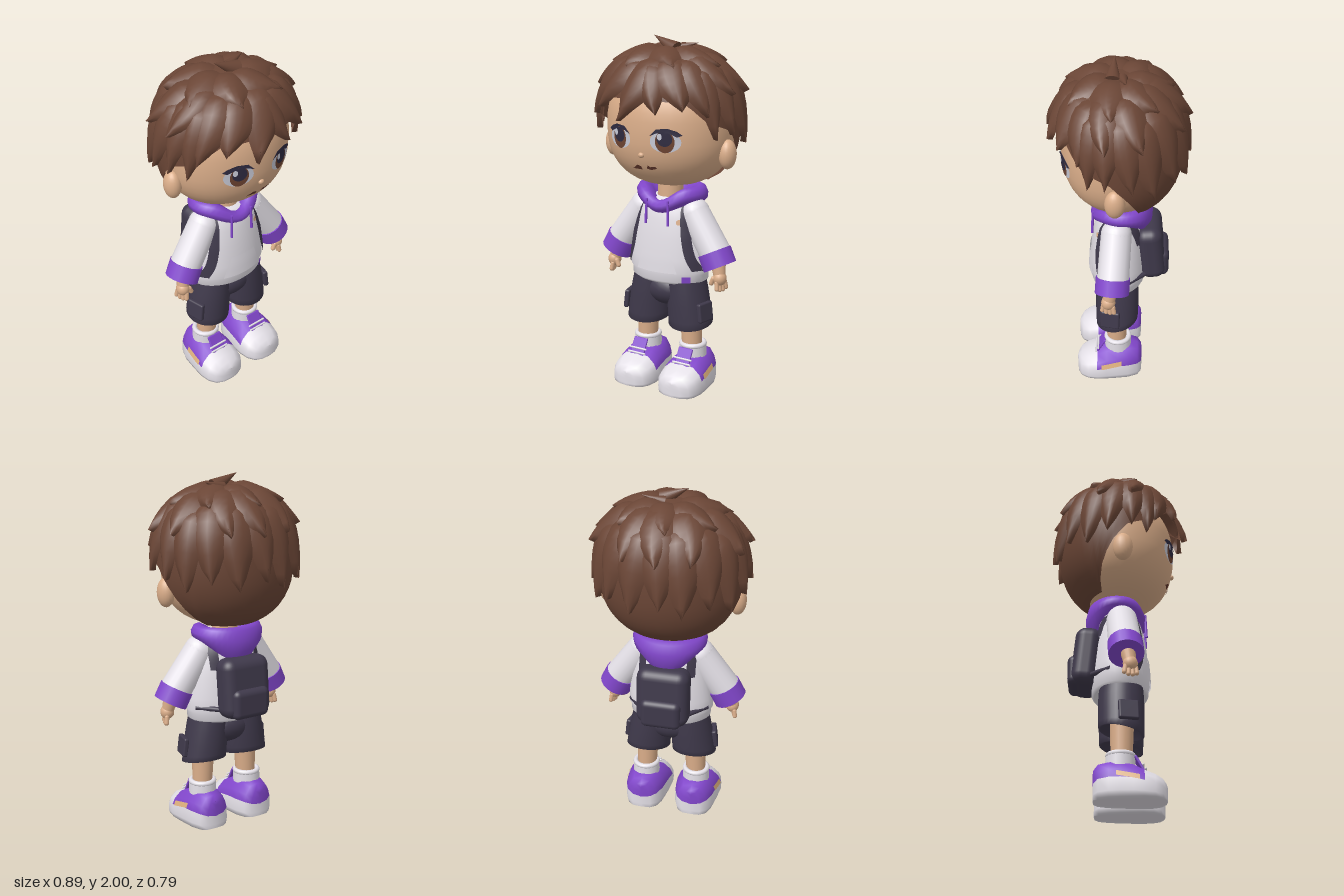
import * as THREE from 'three';
import { mergeGeometries, mergeVertices } from 'three/addons/utils/BufferGeometryUtils.js';
import { RoundedBoxGeometry } from 'three/addons/geometries/RoundedBoxGeometry.js';

const mat = (name, color, side = THREE.FrontSide) => {
  const m = new THREE.MeshStandardMaterial({ color, side });
  m.name = name;
  return m;
};
const V = (x, y, z) => new THREE.Vector3(x, y, z);
const lerp = THREE.MathUtils.lerp;

// Piecewise linear lookup in [[key, value], ...]
function lookup(table, k) {
  for (let i = 1; i < table.length; i++) {
    const [a, va] = table[i - 1], [b, vb] = table[i];
    if (k <= b) return lerp(va, vb, Math.max(0, (k - a) / (b - a)));
  }
  return table[table.length - 1][1];
}

// Surface through fn(u, v) -> Vector3; pick(i, j) gives a material index per quad
function grid(fn, nu, nv, pick) {
  const pos = [], lists = [[], []];
  for (let j = 0; j <= nv; j++) for (let i = 0; i <= nu; i++) pos.push(...fn(i / nu, j / nv, i, j).toArray());
  for (let j = 0; j < nv; j++) for (let i = 0; i < nu; i++) {
    const a = j * (nu + 1) + i, d = a + nu + 1;
    lists[pick ? pick(i, j) : 0].push(a, a + 1, d + 1, a, d + 1, d);
  }
  let g = new THREE.BufferGeometry();
  g.setAttribute('position', new THREE.Float32BufferAttribute(pos, 3));
  g.setIndex([...lists[0], ...lists[1]]);
  if (pick) {
    g.addGroup(0, lists[0].length, 0);
    g.addGroup(lists[0].length, lists[1].length, 1);
  }
  g = mergeVertices(g, 1e-5);
  g.computeVertexNormals();
  return g;
}

// Rounded ovoid shared by the head and the hair
const POW = 2.4;
function ovoid(o, az, el) {
  const s = Math.sin(el), r = Math.pow(Math.max(0, Math.cos(el)), 2 / POW);
  return V(o.rx * r * Math.sin(az), o.cy + o.ry * Math.sign(s) * Math.pow(Math.abs(s), 2 / POW), o.rz * r * Math.cos(az));
}
const elevation = (o, y) => {
  const d = (y - o.cy) / o.ry;
  return Math.asin(Math.sign(d) * Math.pow(Math.abs(d), POW / 2));
};
const HEAD = { cy: 1.51, rx: 0.37, ry: 0.33, rz: 0.31 };
const HAIR = { cy: 1.55, rx: 0.4, ry: 0.39, rz: 0.355 };
const faceZ = (x, y) => {
  const r = Math.pow(1 - Math.pow(Math.abs((y - HEAD.cy) / HEAD.ry), POW), 1 / POW);
  return HEAD.rz * Math.sqrt(Math.max(0, r * r - (x / HEAD.rx) ** 2));
};

// Torso profile as [height, radius]
const TORSO = [[0.63, 0.215], [0.645, 0.235], [0.68, 0.235], [0.7, 0.247], [0.77, 0.243], [0.9, 0.225], [1.0, 0.2], [1.07, 0.175], [1.11, 0.14]];
const torsoZ = (x, y) => 0.67 * Math.sqrt(Math.max(0, lookup(TORSO, y) ** 2 - x * x));

export function createModel() {
  const model = new THREE.Group();
  const DS = THREE.DoubleSide;
  const hair = mat('hair brown', 0x6b4636, DS), skin = mat('skin', 0xdbae8a), white = mat('off white', 0xe4e0e7, DS);
  const purple = mat('purple', 0x8247cc, DS), navy = mat('dark navy', 0x3f394b, DS), dark = mat('eye dark', 0x2e2a40);
  const iris = mat('iris brown', 0x6e4432), eyeWhite = mat('eye white', 0xc9cbd8), lip = mat('mouth brown', 0x63382c);

  const add = (name, geo, material, p = [0, 0, 0], scale = [1, 1, 1], rot = [0, 0, 0]) => {
    const m = new THREE.Mesh(geo, material);
    m.name = name;
    m.position.set(...p);
    m.scale.set(...scale);
    m.rotation.set(...rot);
    model.add(m);
    return m;
  };
  const ball = (name, p, r, m) => add(name, new THREE.SphereGeometry(1, 20, 14), m, p, r);
  const limb = (name, a, b, ra, rb, m) => {
    const A = V(...a), B = V(...b), d = B.clone().sub(A);
    const mesh = add(name, new THREE.CylinderGeometry(rb, ra, d.length(), 20), m, A.clone().lerp(B, 0.5).toArray());
    mesh.quaternion.setFromUnitVectors(V(0, 1, 0), d.normalize());
    return mesh;
  };
  // Thin plate laid on a surface given by zAt(x, y)
  const drape = (name, geo, zAt, off, m) => {
    const p = geo.attributes.position;
    for (let i = 0; i < p.count; i++) p.setZ(i, zAt(p.getX(i), p.getY(i)) + off);
    geo.computeVertexNormals();
    return add(name, geo, m);
  };
  const disc = (x, y, rx, ry) => new THREE.CircleGeometry(1, 24).scale(rx, ry, 1).translate(x, y, 0);
  const poly = (pts, s = 1) => new THREE.ShapeGeometry(new THREE.Shape(pts.map(([x, y]) => new THREE.Vector2(x * s, y))));

  // Head, neck, nose and mouth
  add('head', grid((u, v) => ovoid(HEAD, u * Math.PI * 2, (v - 0.5) * Math.PI), 40, 24), skin);
  limb('neck', [0, 1.04, 0], [0, 1.24, 0], 0.075, 0.07, skin);
  ball('nose', [0, 1.39, faceZ(0, 1.39)], [0.018, 0.015, 0.015], skin);
  drape('mouthRight', poly([[-0.075, 1.305], [-0.01, 1.305], [-0.015, 1.325], [-0.035, 1.332]]), faceZ, 0.005, lip);
  drape('mouthLeft', poly([[0.02, 1.315], [0.045, 1.308], [0.08, 1.318], [0.075, 1.33], [0.045, 1.325], [0.03, 1.335]]), faceZ, 0.005, lip);

  // Hair cap with a hairline that drops behind the ears
  const hairline = [[0, 1.7], [0.7, 1.68], [1.0, 1.58], [1.45, 1.52], [1.7, 1.42], [2.1, 1.2], [3.2, 1.19]];
  add('hairCap', grid((u, v) => {
    const az = (u * 2 - 1) * Math.PI;
    return ovoid(HAIR, az, lerp(elevation(HAIR, lookup(hairline, Math.abs(az))), Math.PI / 2, v));
  }, 56, 20), hair);

  // Leaf-shaped locks: [azimuth, root elevation, tip elevation, half width, drift, flick]
  const lock = ([az, e0, e1, w, drift, flick]) => grid((u, v) => {
    const t = 1 - v, s = u * 2 - 1, a = az + drift * t * t;
    const p = ovoid(HAIR, a, lerp(e0, e1, t));
    const out = p.clone().sub(V(0, 1.5, 0)).normalize();
    const half = w * Math.pow(Math.max(0, Math.sin(Math.PI * (0.2 + 0.8 * t))), 0.85);
    const h = 0.034 * (1 - s * s) * Math.min(1, 5 * t) - 0.006 - (s * half) ** 2 / 0.7 + flick * t * t * t;
    return p.addScaledVector(V(Math.cos(a), 0, -Math.sin(a)), s * half).addScaledVector(out, h);
  }, 6, 8);
  const locks = [
    [-0.8, 1.1, 0.03, 0.12, -0.2, 0.01], [-0.42, 1.05, 0.14, 0.12, -0.2, 0.02], [0.1, 1.1, 0.03, 0.13, -0.32, 0.02],
    [0.12, 1.0, 0.12, 0.1, 0.18, 0.012], [0.5, 1.1, 0.16, 0.13, 0.15, 0.02], [0.85, 1.05, 0.09, 0.11, 0.15, 0.01],
  ];
  for (const s of [-1, 1]) {
    locks.push(
      [s * 1.08, 0.9, -0.12, 0.09, s * 0.06, 0], [s * 1.35, 1.0, -0.08, 0.1, s * 0.05, 0.02], [s * 1.65, 0.9, -0.14, 0.1, s * 0.12, 0.015],
      [s * 2.0, 0.8, -0.26, 0.1, s * 0.1, 0.015], [s * 1.2, 1.2, 0.3, 0.09, s * 0.2, 0.045], [s * 1.75, 1.2, 0.3, 0.1, s * 0.15, 0.04],
      [s * 2.35, 0.95, -0.16, 0.12, s * 0.1, 0.015], [s * 2.75, 0.95, -0.25, 0.12, s * 0.06, 0.015], [s * 2.5, 1.35, 0.3, 0.12, s * 0.2, 0.025]);
  }
  locks.push([Math.PI, 1.0, -0.16, 0.12, 0.05, 0.015], [3.0, 1.4, 0.28, 0.13, 0.15, 0.03]);
  for (let i = 0; i < 7; i++) locks.push([i * 0.9 + 0.3, 1.5, 0.75, 0.11, 0.25, 0.012]);
  add('hairLocks', mergeGeometries(locks.map(lock)), hair);
  limb('crownTuft', [0.05, 1.93, 0.03], [-0.09, 2, 0.02], 0.045, 0.001, hair);
  limb('crownTuftSmall', [0.03, 1.93, -0.02], [0.15, 1.965, -0.04], 0.03, 0.001, hair);

  // Hoodie body, pocket, tag and badge dot
  const profile = [[0, 0.63], ...TORSO.map(([y, r]) => [r, y]), [0, 1.13]].map(p => new THREE.Vector2(...p));
  add('hoodieBody', new THREE.LatheGeometry(profile, 36), white, [0, 0, 0], [1, 1, 0.67]);
  const pocket = new THREE.PlaneGeometry(0.26, 0.13, 12, 5).translate(0, 0.765, 0);
  const pp = pocket.attributes.position;
  for (let i = 0; i < pp.count; i++) pp.setX(i, pp.getX(i) * (1 - (pp.getY(i) - 0.7) * 2.5));
  drape('frontPocket', pocket, torsoZ, 0.007, white);
  drape('hemTag', new THREE.PlaneGeometry(0.04, 0.036).translate(0.172, 0.662, 0), torsoZ, 0.009, purple);
  drape('chestDot', disc(0.125, 0.99, 0.015, 0.015), torsoZ, 0.009, skin);

  // Hood collar, dipping at the front and drooping at the back
  const COLLAR = [[0.86, 0, 0], [1.04, 0.3, 0], [1.06, 0.6, 0], [0.98, 0.9, 0], [0.84, 1, 0], [0.6, 1, -0.02], [0.42, 1, -0.09]];
  add('hoodCollar', grid((u, v, i, j) => {
    const az = u * Math.PI * 2, f = Math.max(0, Math.cos(az)), b = Math.max(0, -Math.cos(az));
    const top = 1.18 - 0.075 * f ** 6, low = 1.085 - 0.055 * f ** 4 - 0.1 * b * b;
    const [r, k, dy] = COLLAR[j];
    return V(0.2 * r * Math.sin(az), lerp(low, top, k) + dy, -0.02 + 0.165 * r * Math.cos(az));
  }, 40, COLLAR.length - 1), purple);

  // Backpack
  add('backpack', new RoundedBoxGeometry(0.3, 0.34, 0.15, 4, 0.06), navy, [0, 0.845, -0.185], [1, 1, 1], [0.1, 0, 0]);
  add('backpackPocket', new RoundedBoxGeometry(0.23, 0.17, 0.08, 4, 0.035), navy, [0, 0.765, -0.25]);

  // Shoe outline as [z, half width, height] and half section as fractions
  const SHOE = [[-0.142, 0, 0.15], [-0.138, 0.055, 0.17], [-0.115, 0.092, 0.195], [-0.06, 0.115, 0.205], [0, 0.124, 0.205], [0.07, 0.132, 0.19],
    [0.125, 0.135, 0.16], [0.18, 0.126, 0.138], [0.22, 0.1, 0.115], [0.24, 0.055, 0.09], [0.246, 0, 0.08]];
  const half = [[0, 0], [0.6, 0], [0.93, 0], [1, 0.15], [0.98, 0.5], [0.86, 0.72], [0.55, 0.95], [0, 1]];
  const section = [...half, ...half.slice(0, -1).reverse().map(([x, y]) => [-x, y])];
  const SHORTS = [[0, 0.46, 0], [0.7, 0.44, 0], [0.9, 0.385, 1], [1, 0.383, 1], [1, 0.42, 0.7], [0.99, 0.5, 0], [0.96, 0.58, 0], [0.9, 0.66, 0]];

  for (const s of [-1, 1]) {
    const side = s > 0 ? 'left' : 'right';
    // Ear and eye
    ball(side + 'Ear', [s * 0.37, 1.385, 0.015], [0.048, 0.082, 0.055], skin);
    drape(side + 'EyeWhite', disc(s * 0.142, 1.472, 0.08, 0.058), faceZ, 0.005, eyeWhite);
    drape(side + 'Iris', disc(s * 0.142, 1.473, 0.05, 0.06), faceZ, 0.007, iris);
    drape(side + 'Pupil', disc(s * 0.142, 1.488, 0.04, 0.04), faceZ, 0.0085, dark);
    drape(side + 'EyeGlint', disc(s * 0.142 - 0.025, 1.5, 0.013, 0.018), faceZ, 0.0098, eyeWhite);
    drape(side + 'Lash', poly([[0.06, 1.5], [0.1, 1.518], [0.16, 1.522], [0.205, 1.5], [0.23, 1.51], [0.205, 1.53], [0.16, 1.545], [0.1, 1.54]], s), faceZ, 0.0095, dark);

    // Sleeve, cuff and hand
    ball(side + 'Shoulder', [s * 0.165, 1.03, 0.01], [0.086, 0.086, 0.086], white);
    limb(side + 'Sleeve', [s * 0.165, 1.03, 0.01], [s * 0.318, 0.81, 0.028], 0.086, 0.09, white);
    limb(side + 'Cuff', [s * 0.302, 0.832, 0.027], [s * 0.343, 0.75, 0.033], 0.096, 0.096, purple);
    limb(side + 'Wrist', [s * 0.335, 0.77, 0.04], [s * 0.35, 0.7, 0.05], 0.042, 0.034, skin);
    ball(side + 'Palm', [s * 0.353, 0.69, 0.053], [0.038, 0.042, 0.04], skin);
    for (let k = 0; k < 4; k++) {
      add(side + 'Finger', new THREE.CapsuleGeometry(0.013, 0.035, 4, 10), skin,
        [s * (0.372 - k * 0.007), 0.652 - (k % 3 ? 0.008 : 0), 0.024 + k * 0.02], [1, 1, 1], [(1.5 - k) * 0.1, 0, s * 0.15]);
    }
    add(side + 'Thumb', new THREE.CapsuleGeometry(0.014, 0.03, 4, 10), skin, [s * 0.318, 0.675, 0.075], [1, 1, 1], [0, 0, -s * 0.4]);

    // Drawstring and backpack strap over the shoulder
    limb(side + 'Drawstring', [s * 0.068, 1.11, 0.142], [s * 0.073, 0.97, 0.148], 0.007, 0.008, purple);
    const path = new THREE.CatmullRomCurve3([V(0.226, 0.715, 1), V(0.19, 0.8, 1), V(0.165, 0.92, 1), V(0.15, 1.04, 1), V(0.14, 1.112, 0),
      V(0.14, 1.04, -1), V(0.14, 0.94, -1)]);
    add(side + 'Strap', grid((u, v) => {
      const p = path.getPoint(v), x = p.x + (u - 0.5) * 0.046;
      const over = 0.012 * (1 - Math.abs(THREE.MathUtils.clamp(p.z, -1, 1)));
      const z = THREE.MathUtils.clamp(p.z, -1, 1) * (Math.max(torsoZ(x, p.y), 0.045) + 0.012);
      return V(s * x, p.y + over, z);
    }, 4, 32), navy);
    limb(side + 'StrapTail', [s * 0.225, 0.72, -0.05], [s * 0.13, 0.72, -0.16], 0.014, 0.014, navy);

    // Shorts leg with an open hem, and cargo pocket
    add(side + 'ShortsLeg', grid((u, v, i, j) => {
      const [r, y, tilt] = SHORTS[j], az = u * Math.PI * 2, k = (0.66 - y) / 0.28;
      const z = lerp(0.132, 0.122, k) * r * Math.cos(az) + 0.006;
      return V(s * lerp(0.11, 0.14, k) + lerp(0.118, 0.13, k) * r * Math.sin(az), y - 0.2 * z * tilt, z);
    }, 28, SHORTS.length - 1), navy);
    add(side + 'CargoPocket', new RoundedBoxGeometry(0.03, 0.11, 0.11, 2, 0.01), navy, [s * 0.255, 0.47, 0.045], [1, 1, 1], [0, -s * 0.2, s * 0.12]);

    // Leg, sock and shoe
    limb(side + 'Leg', [s * 0.152, 0.2, 0.008], [s * 0.143, 0.47, 0.01], 0.056, 0.066, skin);
    limb(side + 'Sock', [s * 0.154, 0.16, 0], [s * 0.154, 0.25, 0.002], 0.08, 0.078, white);
    add(side + 'SockRim', new THREE.TorusGeometry(0.066, 0.015, 10, 24), white, [s * 0.154, 0.248, 0.002], [1, 1, 1], [Math.PI / 2, 0, 0]);
    const cx = s * 0.153;
    add(side + 'Shoe', grid((u, v, i, j) => {
      const [z, w, h] = SHOE[j], [x, y] = section[i];
      return V(cx + x * w, y * h, z);
    }, section.length - 1, SHOE.length - 1, (i, j) => (i >= 4 && i <= 9 && j < 6 ? 1 : 0)), [white, purple]);
    add(side + 'Tongue', new RoundedBoxGeometry(0.092, 0.11, 0.014, 2, 0.006), purple, [cx, 0.192, 0.105], [1, 1, 1], [-0.5, 0, 0]);
    for (const [y, z] of [[0.165, 0.133], [0.188, 0.12]])
      add(side + 'Lace', new THREE.CapsuleGeometry(0.006, 0.11, 3, 8), white, [cx, y, z], [1, 1, 1], [0, 0, Math.PI / 2]);
    // Tan side stripe on the outside of the shoe
    add(side + 'ShoeStripe', grid((u, v) => {
      const z = lerp(0.1, -0.02, u), y = 0.085 + u * 0.025 + v * 0.028;
      const w = lookup(SHOE.map(([a, b]) => [a, b]), z);
      return V(cx + s * (w * lerp(0.985, 0.9, v) + 0.006), y, z);
    }, 6, 2), mat0(model, DS));
  }
  ball('shortsSeat', [0, 0.57, 0.005], [0.17, 0.105, 0.125], navy);
  return model;
}

// Shared tan for the shoe stripes
function mat0(model, side) {
  return (model.userData.tan ??= mat('tan', 0xdbae7c, side));
}
